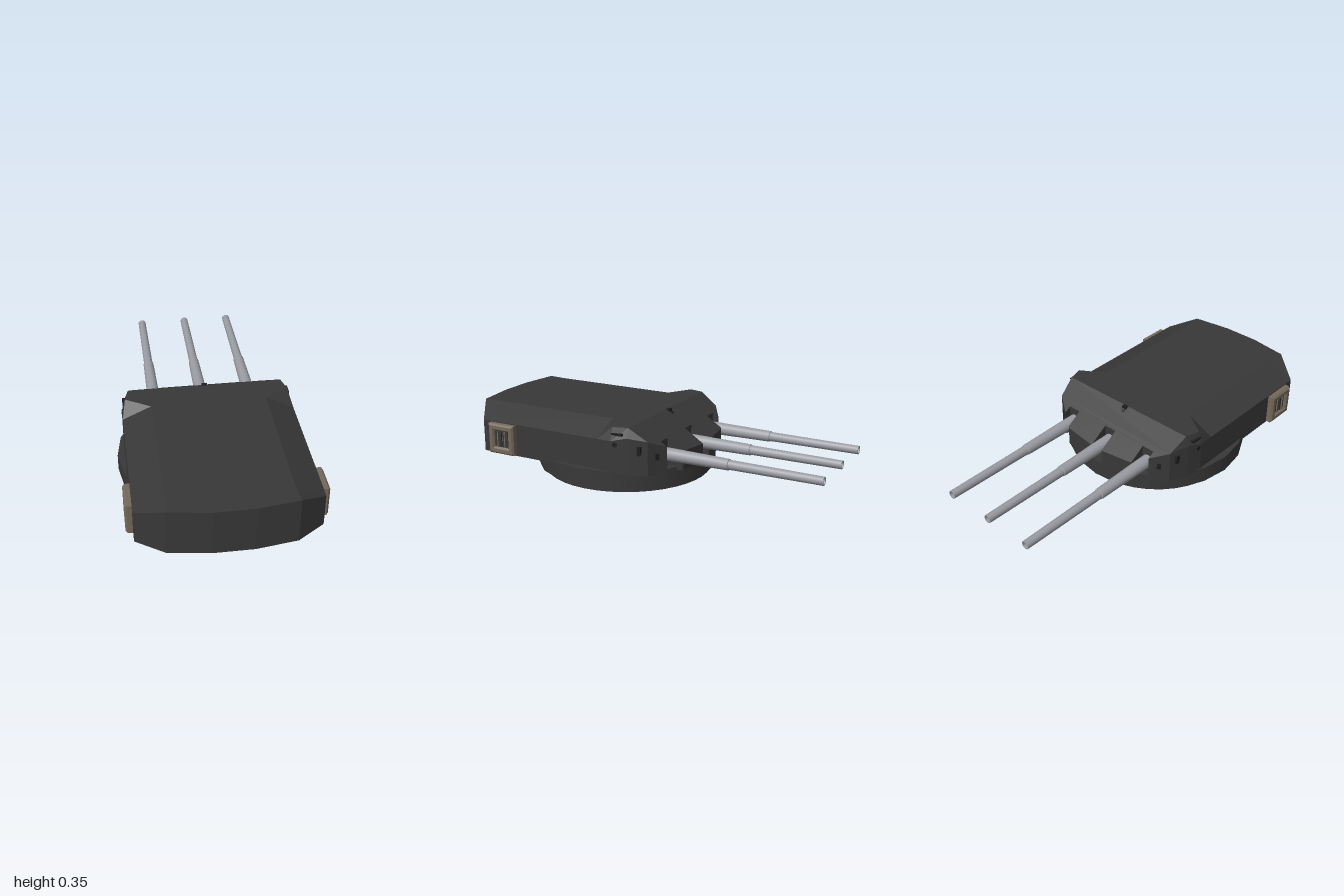
import * as THREE from 'three';

const mat = (name, color, side = THREE.FrontSide) => {
  const m = new THREE.MeshStandardMaterial({ color, side });
  m.name = name;
  return m;
};

const FLOOR = 0.105;
const slopeY = (z) => 0.35 + 0.65 * (z + 0.02); // height of the sloping face plate

// Loft of six-point hull sections, from the rear (+z) to the gun face (-z)
function hullGeometry() {
  // z, wall half width, shoulder height, roof half width, roof height
  const stations = [
    [0.995, 0.10, 0.35, 0.10, 0.35],
    [0.965, 0.31, 0.35, 0.30, 0.35],
    [0.87, 0.45, 0.28, 0.30, 0.35],
    [0.14, 0.45, 0.28, 0.30, 0.35],
    [0.06, 0.45, 0.28, 0.43, 0.35],
    [-0.02, 0.43, 0.30, 0.41, 0.35],
    [-0.12, 0.39, 0.285, 0.39, 0.285],
    [-0.145, 0.353, slopeY(-0.145), 0.353, slopeY(-0.145)],
  ];
  const rings = stations.map(([z, w, ys, xt, yt]) =>
    [[w, FLOOR], [w, ys], [xt, yt], [-xt, yt], [-w, ys], [-w, FLOOR]]
      .map(([x, y]) => new THREE.Vector3(x, y, z)));
  const pos = [];
  const tri = (a, b, c) => {
    if (new THREE.Triangle(a, b, c).getArea() < 1e-8) return;
    for (const p of [a, b, c]) pos.push(p.x, p.y, p.z);
  };
  for (let i = 0; i < rings.length - 1; i++) {
    for (let j = 0; j < 6; j++) {
      const k = (j + 1) % 6;
      const a = rings[i][j], b = rings[i][k], c = rings[i + 1][k], d = rings[i + 1][j];
      if (j >= 3) { tri(a, d, b); tri(b, d, c); } else { tri(a, c, b); tri(a, d, c); }
    }
  }
  const first = rings[0], last = rings[rings.length - 1];
  for (let j = 1; j < 5; j++) {
    tri(first[0], first[j], first[j + 1]);
    tri(last[0], last[j + 1], last[j]);
  }
  const g = new THREE.BufferGeometry();
  g.setAttribute('position', new THREE.Float32BufferAttribute(pos, 3));
  g.computeVertexNormals();
  return g;
}

// Upright block with a plan outline [x, z] and a top following the face plate
function noseGeometry(plan, side) {
  const shape = new THREE.Shape(plan.map(([x, z]) => new THREE.Vector2(x * side, -z)));
  const g = new THREE.ExtrudeGeometry(shape, { depth: 1, bevelEnabled: false });
  g.rotateX(-Math.PI / 2);
  const p = g.attributes.position;
  for (let i = 0; i < p.count; i++) p.setY(i, p.getY(i) > 0.5 ? slopeY(p.getZ(i)) : FLOOR);
  g.computeVertexNormals();
  return g;
}

export function createModel() {
  const steel = mat('dark steel', 0x383838);
  const dark = mat('black fittings', 0x1e1e1e);
  const brown = mat('brown frame', 0x74685a);
  const gunGrey = mat('barrel grey', 0x9a9ca3, THREE.DoubleSide);
  const model = new THREE.Group();
  model.name = 'gunTurret';

  const add = (name, geo, material, x = 0, y = 0, z = 0, parent = model) => {
    const m = new THREE.Mesh(geo, material);
    m.name = name;
    m.position.set(x, y, z);
    parent.add(m);
    return m;
  };
  const box = (name, w, h, d, material, x, y, z, parent) =>
    add(name, new THREE.BoxGeometry(w, h, d), material, x, y, z, parent);

  // Rotating base
  add('baseRing', new THREE.CylinderGeometry(0.455, 0.455, 0.04, 40), steel, 0, 0.02, 0.225);
  add('turntable', new THREE.CylinderGeometry(0.49, 0.49, 0.09, 20), steel, 0, 0.075, 0.23)
    .rotation.y = Math.PI / 20 * 2;

  // Armoured house and the face blocks between the gun ports
  add('house', hullGeometry(), steel);
  const inner = [[0.036, -0.14], [0.229, -0.14], [0.229, -0.229], [0.22, -0.235], [0.036, -0.252]];
  const outer = [[0.301, -0.14], [0.36, -0.14], [0.353, -0.145], [0.301, -0.181]];
  for (const s of [1, -1]) {
    add('innerFaceBlock', noseGeometry(inner, s), steel);
    add('outerFaceBlock', noseGeometry(outer, s), steel);
  }

  // Barrels: stepped and hollow at the muzzle, profile is [radius, distance]
  const profile = [[0, 0], [0.034, 0], [0.034, 0.06], [0.029, 0.37], [0.025, 0.372],
    [0.022, 0.86], [0.017, 0.86], [0.017, 0.78], [0, 0.78]].map(([r, d]) => new THREE.Vector2(r, d));
  // Separate lathes keep the steps crisp and the tubes smooth
  for (const x of [-0.265, 0, 0.265]) {
    const gun = new THREE.Group();
    gun.name = 'gun';
    gun.position.set(x, 0.195, -0.14);
    gun.rotation.x = -Math.PI / 2;
    model.add(gun);
    for (let i = 0; i < profile.length - 1; i++)
      add('barrelSection', new THREE.LatheGeometry([profile[i], profile[i + 1]], 14), gunGrey, 0, 0, 0, gun);
  }

  // Framed side lockers
  for (const s of [1, -1]) {
    const locker = new THREE.Group();
    locker.name = 'sideLocker';
    locker.position.set(0.445 * s, 0.193, 0.735);
    locker.rotation.y = s * Math.PI / 2;
    model.add(locker);
    const rect = (P, w, h) => new P([[-w, -h], [w, -h], [w, h], [-w, h]].map(([a, b]) => new THREE.Vector2(a, b)));
    const frame = rect(THREE.Shape, 0.073, 0.073);
    frame.holes.push(rect(THREE.Path, 0.054, 0.054));
    add('lockerFrame', new THREE.ExtrudeGeometry(frame, {
      depth: 0.03, bevelThickness: 0.01, bevelSize: 0.009, bevelSegments: 1 }), brown, 0, 0, 0, locker);
    box('lockerPanel', 0.11, 0.11, 0.02, brown, 0, 0, 0.01, locker);
    for (const x of [-0.023, 0.023]) {
      box('lockerDoor', 0.038, 0.088, 0.012, steel, x, 0, 0.022, locker);
      box('lockerBar', 0.006, 0.088, 0.008, brown, x, 0, 0.03, locker);
    }
  }

  // Sighting ports and small fittings on the flanks
  for (const s of [1, -1]) {
    box('sightHood', 0.02, 0.01, 0.06, dark, 0.434 * s, 0.316, 0.03);
    for (const [x, y, z, yaw] of [[0.4455, 0.262, 0.04, 0.245], [0.4065, 0.222, -0.08, 0.38]]) {
      const disc = add('sidePort', new THREE.CylinderGeometry(0.013, 0.013, 0.008, 10), dark, x * s, y, z);
      disc.rotation.set(0, s * yaw, Math.PI / 2);
    }
    box('flankBracket', 0.016, 0.03, 0.022, dark, 0.406 * s, 0.245, -0.08);
    const slit = box('viewSlit', 0.008, 0.034, 0.022, dark, 0.345 * s, 0.2, -0.15);
    slit.rotation.y = s * 0.97;
  }

  // Roof periscope and face plate port
  box('periscope', 0.028, 0.014, 0.02, dark, 0, 0.345, -0.028);
  const port = add('facePort', new THREE.CylinderGeometry(0.011, 0.011, 0.008, 10), dark, 0, slopeY(-0.045), -0.045);
  port.rotation.x = -Math.atan(0.65);

  return model;
}
